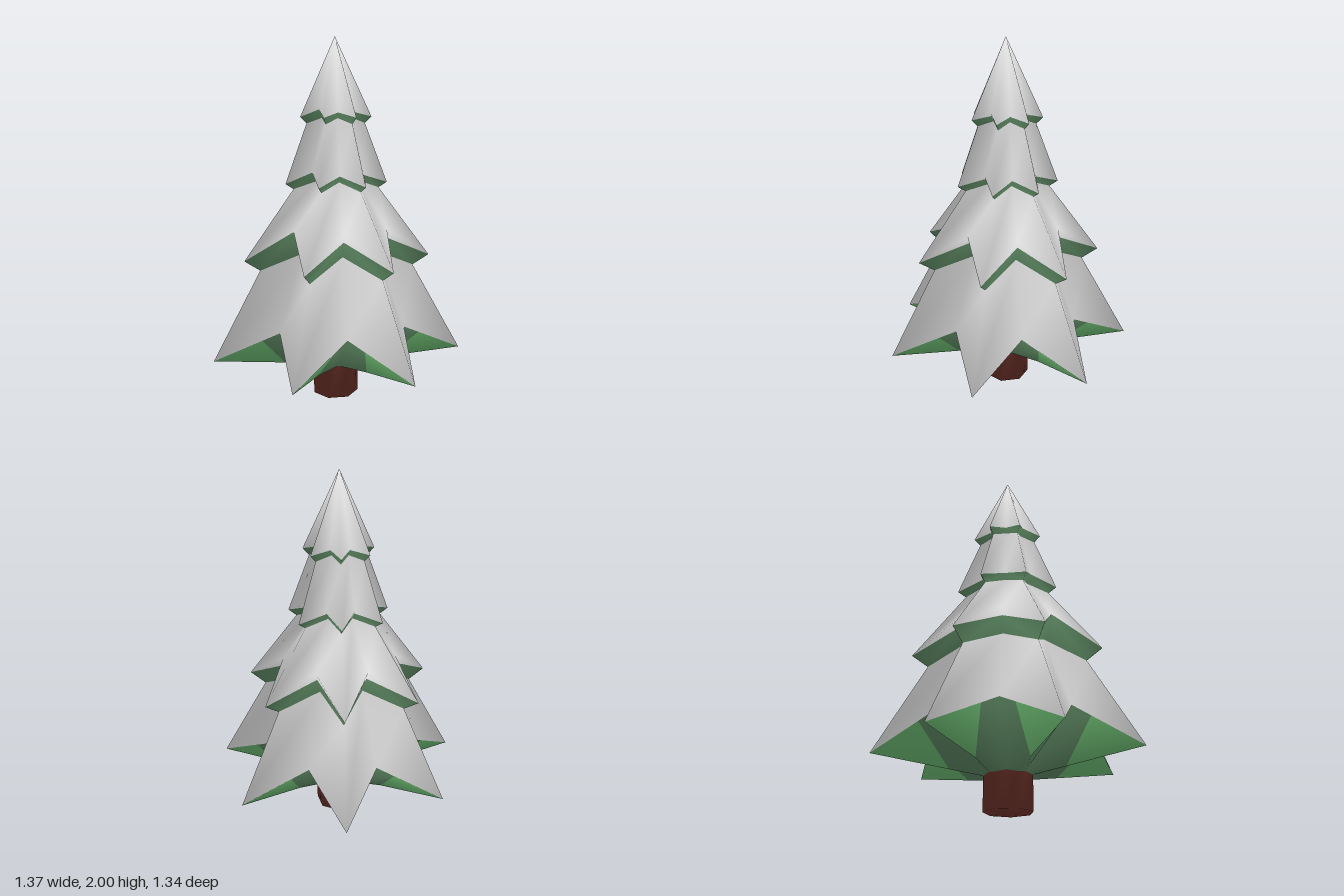
import * as THREE from 'three';

const POINTS = 7;
const SIDES = POINTS * 2;
const FRONT_NOTCH = 7;
const CENTRE_Z = 0.035;

// Star-shaped ring of vertices: outer tips alternate with notches, each given as [radius, height]
function starRing(vertices, tip, notch) {
  const start = vertices.length;
  for (let i = 0; i < SIDES; i++) {
    const [r, y] = i % 2 === 0 ? tip : notch;
    const a = Math.PI + (i * Math.PI) / POINTS;
    vertices.push(new THREE.Vector3(r * Math.sin(a), y, CENTRE_Z + r * Math.cos(a)));
  }
  return Array.from({ length: SIDES }, (_, i) => start + i);
}

// Ring closed to a single vertex on the axis
function pole(vertices, y) {
  vertices.push(new THREE.Vector3(0, y, CENTRE_Z));
  return new Array(SIDES).fill(vertices.length - 1);
}

// Triangles joining a lower ring to an upper ring, facing outwards
function band(lower, upper) {
  const triangles = [];
  for (let i = 0; i < SIDES; i++) {
    const j = (i + 1) % SIDES;
    triangles.push([lower[i], lower[j], upper[j]], [lower[i], upper[j], upper[i]]);
  }
  return triangles.filter(([a, b, c]) => a !== b && b !== c && a !== c);
}

// Normals smoothed over every edge, each face weighted by its corner angle
function smoothNormals(vertices, triangles) {
  const normals = vertices.map(() => new THREE.Vector3());
  for (const t of triangles) {
    for (let k = 0; k < 3; k++) {
      const p = vertices[t[k]];
      const u = vertices[t[(k + 1) % 3]].clone().sub(p);
      const v = vertices[t[(k + 2) % 3]].clone().sub(p);
      const face = u.clone().cross(v).normalize();
      normals[t[k]].addScaledVector(face, u.angleTo(v));
    }
  }
  return normals.map((n) => n.normalize());
}

const toAttribute = (vectors) =>
  new THREE.Float32BufferAttribute(vectors.flatMap((v) => v.toArray()), 3);

export function createModel() {
  const snow = new THREE.MeshStandardMaterial({ name: 'snow white', color: 0xeeeeee });
  const lightGreen = new THREE.MeshStandardMaterial({ name: 'light green', color: 0x66b06b });
  const darkGreen = new THREE.MeshStandardMaterial({ name: 'dark green', color: 0x567e5b });
  const bark = new THREE.MeshStandardMaterial({ name: 'bark brown', color: 0x70332b });

  // Tiers from the bottom up: star rim, then the neck below the next tier
  const tiers = [
    { rim: [[0.705, 0.28], [0.43, 0.46]], neck: [[0.435, 0.76], [0.265, 0.86]] },
    { rim: [[0.522, 0.82], [0.32, 0.99]], neck: [[0.24, 1.195], [0.15, 1.24]] },
    { rim: [[0.285, 1.225], [0.178, 1.29]], neck: [[0.163, 1.545], [0.103, 1.575]] },
    { rim: [[0.198, 1.58], [0.122, 1.62]] },
  ];

  // All rings of the tree, from the closed trunk base to the peak
  const vertices = [];
  const rings = [
    pole(vertices, 0),
    starRing(vertices, [0.13, 0], [0.117, 0]),
    starRing(vertices, [0.13, 0.18], [0.117, 0.19]),
  ];
  for (const { rim, neck } of tiers) {
    rings.push(starRing(vertices, ...rim));
    rings.push(neck ? starRing(vertices, ...neck) : pole(vertices, 2));
  }
  const bands = rings.slice(1).map((ring, k) => band(rings[k], ring));
  const normals = smoothNormals(vertices, bands.flat());

  // Extra vertex on the line from a to b, used for colour borders
  const between = (a, b, f) => {
    vertices.push(vertices[a].clone().lerp(vertices[b], f));
    normals.push(normals[a].clone().lerp(normals[b], f).normalize());
    return vertices.length - 1;
  };

  const parts = [];
  const addPart = (name, triangles, material) => parts.push({ name, triangles, material });

  // Visits both halves of every star point; the mirrored half has its corners turned round
  const eachHalf = (neck, rim, visit) => {
    for (let i = 0; i < SIDES; i += 2) {
      for (const step of [1, -1]) {
        const j = (i + step + SIDES) % SIDES;
        const turn = (list) => (step === 1 ? list : list.map(([a, b, c]) => [a, c, b]));
        visit(rim[i], rim[j], neck[j], neck[i], turn, j === FRONT_NOTCH);
      }
    }
  };

  // Trunk
  addPart('trunkBase', bands[0], bark);
  addPart('trunk', bands[1], bark);

  tiers.forEach((_, k) => {
    const neck = rings[2 + 2 * k];
    const rim = rings[3 + 2 * k];
    const green = [];
    const patch = [];
    if (k === 0) {
      // Bottom tier: light points separated by dark strips that meet round the trunk
      eachHalf(neck, rim, (tip, notch, innerNotch, innerTip, turn) => {
        const edge = between(tip, notch, 0.74);
        const vee = between(tip, innerTip, 0.7);
        patch.push(...turn([[tip, vee, edge]]));
        green.push(...turn([[vee, innerTip, innerNotch], [vee, innerNotch, edge], [edge, innerNotch, notch]]));
      });
      addPart('branchPoints', patch, lightGreen);
    } else {
      // Upper tiers: snow hangs over the notches, except the front one
      eachHalf(neck, rim, (tip, notch, innerNotch, innerTip, turn, front) => {
        const border = front ? notch : between(notch, innerNotch, 0.33);
        green.push(...turn([[innerTip, innerNotch, border], [innerTip, border, tip]]));
        if (!front) patch.push(...turn([[tip, border, notch]]));
      });
      addPart(`snowOverhang${k + 1}`, patch, snow);
    }
    addPart(`branchUnderside${k + 1}`, green, darkGreen);
    addPart(`snowTier${k + 1}`, bands[3 + 2 * k], snow);
  });

  // Every part shares the same vertices, so shading flows across the whole tree
  const position = toAttribute(vertices);
  const normal = toAttribute(normals);

  const tree = new THREE.Group();
  tree.name = 'snowyTree';
  for (const { name, triangles, material } of parts) {
    const geo = new THREE.BufferGeometry();
    geo.setAttribute('position', position);
    geo.setAttribute('normal', normal);
    geo.setIndex(triangles.flat());
    const mesh = new THREE.Mesh(geo, material);
    mesh.name = name;
    tree.add(mesh);
  }
  return tree;
}
